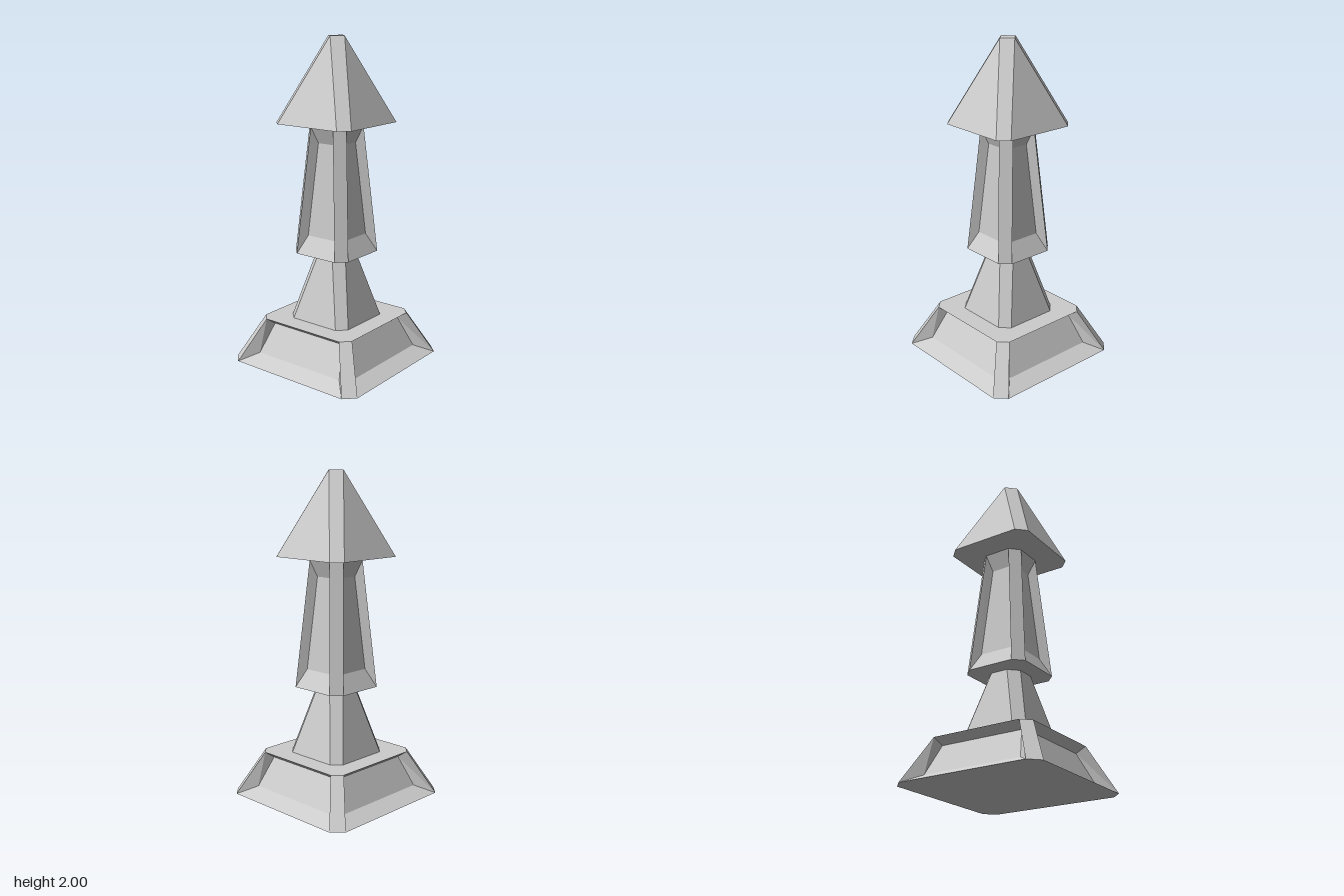
import * as THREE from 'three';

const material = new THREE.MeshStandardMaterial({ color: 0xcccccc, flatShading: true });

// A ring is a square with cut corners: y, half width h, half length c of its straight edges.
const ring = (y, h, c) => ({ y, h, c });
const left = (r) => [-r.c, r.y, r.h];
const right = (r) => [r.c, r.y, r.h];
const corner = (r) => [r.h, r.y, r.c];

// Joins rings from the bottom up. panels[i], if given, sinks a panel into the four
// sides between ring i and i + 1; its own two rings give the panel's lower and upper edges.
function loft(name, rings, { panels = {}, bottom = false, top = false } = {}) {
  const pos = [];
  const quarter = (p, k) => {
    for (let i = 0; i < k; i++) p = [p[2], p[1], -p[0]];
    return p;
  };
  for (let k = 0; k < 4; k++) {
    const tri = (...pts) => pts.forEach((p) => pos.push(...quarter(p, k)));
    const quad = (a, b, c, d) => { tri(a, b, c); tri(a, c, d); };

    for (let i = 0; i < rings.length - 1; i++) {
      const lo = rings[i], hi = rings[i + 1];
      const outer = [left(lo), right(lo), right(hi), left(hi)];
      if (panels[i]) {
        const [pl, ph] = panels[i];
        const inner = [left(pl), right(pl), right(ph), left(ph)];
        for (let j = 0; j < 4; j++) {
          const n = (j + 1) % 4;
          quad(outer[j], outer[n], inner[n], inner[j]);
        }
        quad(...inner);
      } else {
        quad(...outer);
      }
      quad(right(lo), corner(lo), corner(hi), right(hi)); // cut corner
    }

    // End caps, as fans about the axis
    const cap = (r, up) => {
      const mid = [0, r.y, 0];
      for (const [a, b] of [[left(r), right(r)], [right(r), corner(r)]]) {
        if (up) tri(mid, a, b); else tri(mid, b, a);
      }
    };
    if (bottom) cap(rings[0], false);
    if (top) cap(rings[rings.length - 1], true);
  }
  const geometry = new THREE.BufferGeometry();
  geometry.setAttribute('position', new THREE.Float32BufferAttribute(pos, 3));
  geometry.computeVertexNormals();
  const mesh = new THREE.Mesh(geometry, material);
  mesh.name = name;
  return mesh;
}

export function createModel() {
  const group = new THREE.Group();
  group.name = 'spire';

  // Shared rings where the parts meet
  const neckFoot = ring(0.27, 0.22, 0.165);
  const neckTop = ring(0.68, 0.112, 0.055);
  const shaftTop = ring(1.47, 0.14, 0.083);

  group.add(
    // Sloped base with four sunken panels and a flat ledge
    loft('base', [ring(0, 0.475, 0.41), ring(0.27, 0.34, 0.285), neckFoot], {
      panels: { 0: [ring(0.05, 0.375, 0.315), ring(0.23, 0.285, 0.265)] },
      bottom: true,
    }),
    // Tapered neck
    loft('neck', [neckFoot, neckTop]),
    // Shaft: overhanging underside, then panelled sides
    loft('shaft', [neckTop, ring(0.69, 0.205, 0.147), shaftTop], {
      panels: { 1: [ring(0.8, 0.145, 0.105), ring(1.37, 0.098, 0.06)] },
    }),
    // Pyramid head, its top closing to a small diamond
    loft('head', [shaftTop, ring(1.49, 0.281, 0.222), ring(2, 0.06, 0)], { top: true }),
  );
  return group;
}
